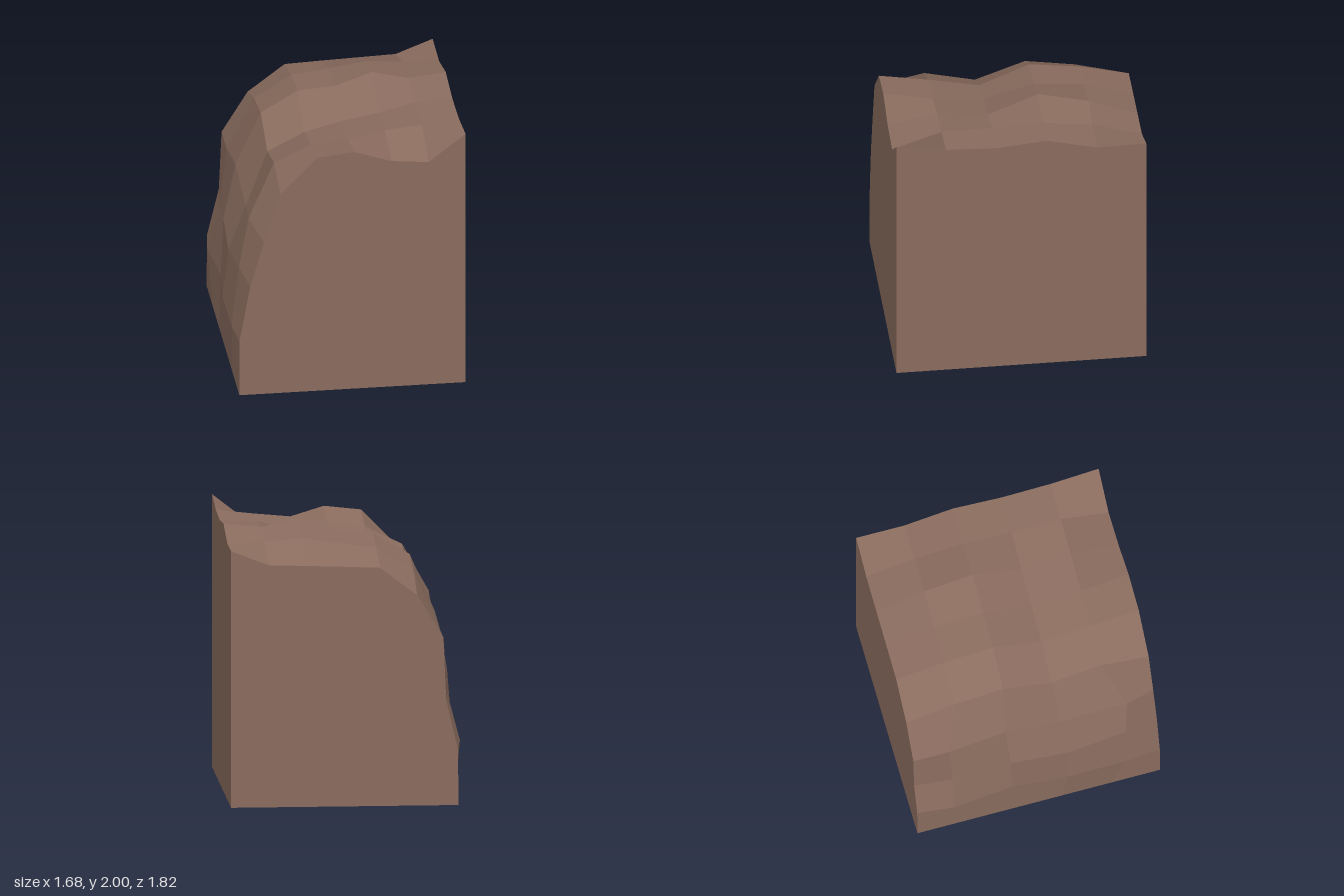
import * as THREE from 'three';

// Cross-sections run from the front (z = 0.91) to the back (z = -0.91).
const SLICE_Z = [0.91, 0.55, 0.18, -0.185, -0.55, -0.91];
const TOP_X = [-0.51, -0.24, 0.03, 0.3, 0.57, 0.84];

// Height of the plateau at each TOP_X, one row per slice
const TOP_Y = [
  [1.6, 1.875, 1.905, 1.815, 1.79, 2.0],
  [1.68, 1.81, 1.83, 1.89, 1.915, 1.945],
  [1.59, 1.73, 1.8, 1.85, 1.92, 1.93],
  [1.725, 1.885, 1.905, 2.0, 1.935, 1.965],
  [1.665, 1.835, 1.87, 1.91, 1.89, 1.875],
  [1.541, 1.746, 1.757, 1.766, 1.775, 1.88],
];

// Three [x, y, z] points up the steep side, one row per slice
const SIDE = [
  [[-0.81, 0.43, 0.91], [-0.73, 0.87, 0.91], [-0.63, 1.22, 0.91]],
  [[-0.83, 0.43, 0.64], [-0.78, 0.91, 0.66], [-0.715, 1.31, 0.69]],
  [[-0.84, 0.45, 0.21], [-0.8, 0.84, 0.23], [-0.67, 1.17, 0.2]],
  [[-0.8, 0.43, -0.2], [-0.78, 0.88, -0.2], [-0.69, 1.31, -0.215]],
  [[-0.84, 0.43, -0.64], [-0.75, 0.77, -0.63], [-0.7, 1.23, -0.64]],
  [[-0.805, 0.41, -0.91], [-0.72, 0.77, -0.91], [-0.7, 1.23, -0.91]],
];

// One full section: base, steep side, plateau
const sections = SLICE_Z.map((z, j) => [
  new THREE.Vector3(-0.81, 0, z),
  ...SIDE[j].map((p) => new THREE.Vector3(...p)),
  ...TOP_X.map((x, i) => new THREE.Vector3(x, TOP_Y[j][i], z)),
]);

// Loft the sections into faceted quads, each with a single normal
function rockSurface() {
  const positions = [];
  const normals = [];
  for (let j = 0; j < sections.length - 1; j++) {
    for (let i = 0; i < sections[j].length - 1; i++) {
      const a = sections[j][i];
      const b = sections[j][i + 1];
      const c = sections[j + 1][i + 1];
      const d = sections[j + 1][i];
      const n = c.clone().sub(a).cross(d.clone().sub(b)).normalize();
      for (const v of [a, b, c, a, c, d]) {
        positions.push(v.x, v.y, v.z);
        normals.push(n.x, n.y, n.z);
      }
    }
  }
  const geometry = new THREE.BufferGeometry();
  geometry.setAttribute('position', new THREE.Float32BufferAttribute(positions, 3));
  geometry.setAttribute('normal', new THREE.Float32BufferAttribute(normals, 3));
  return geometry;
}

// Flat wall from a 2D outline, closed along the ground
function wall(outline) {
  return new THREE.ShapeGeometry(new THREE.Shape(outline.map(([x, y]) => new THREE.Vector2(x, y))));
}

export function createModel() {
  const group = new THREE.Group();
  group.name = 'cliffBlock';
  const rock = new THREE.MeshStandardMaterial({ color: 0x8a6c5e, side: THREE.DoubleSide });
  rock.name = 'brownRock';

  const add = (name, geometry) => {
    const mesh = new THREE.Mesh(geometry, rock);
    mesh.name = name;
    group.add(mesh);
  };

  add('rockSurface', rockSurface());

  // Flat cut ends; the underside stays open
  const front = sections[0].map((p) => [p.x, p.y]);
  add('frontWall', wall([...front, [0.84, 0]]).translate(0, 0, 0.91));

  const back = sections[5].map((p) => [-p.x, p.y]);
  add('backWall', wall([...back, [-0.84, 0]]).rotateY(Math.PI).translate(0, 0, -0.91));

  // Flat wall on the +x side, following the plateau edge
  const edge = sections.map((s) => [-s[9].z, s[9].y]);
  add('sideWall', wall([[-0.91, 0], ...edge, [0.91, 0]]).rotateY(Math.PI / 2).translate(0.84, 0, 0));

  return group;
}
